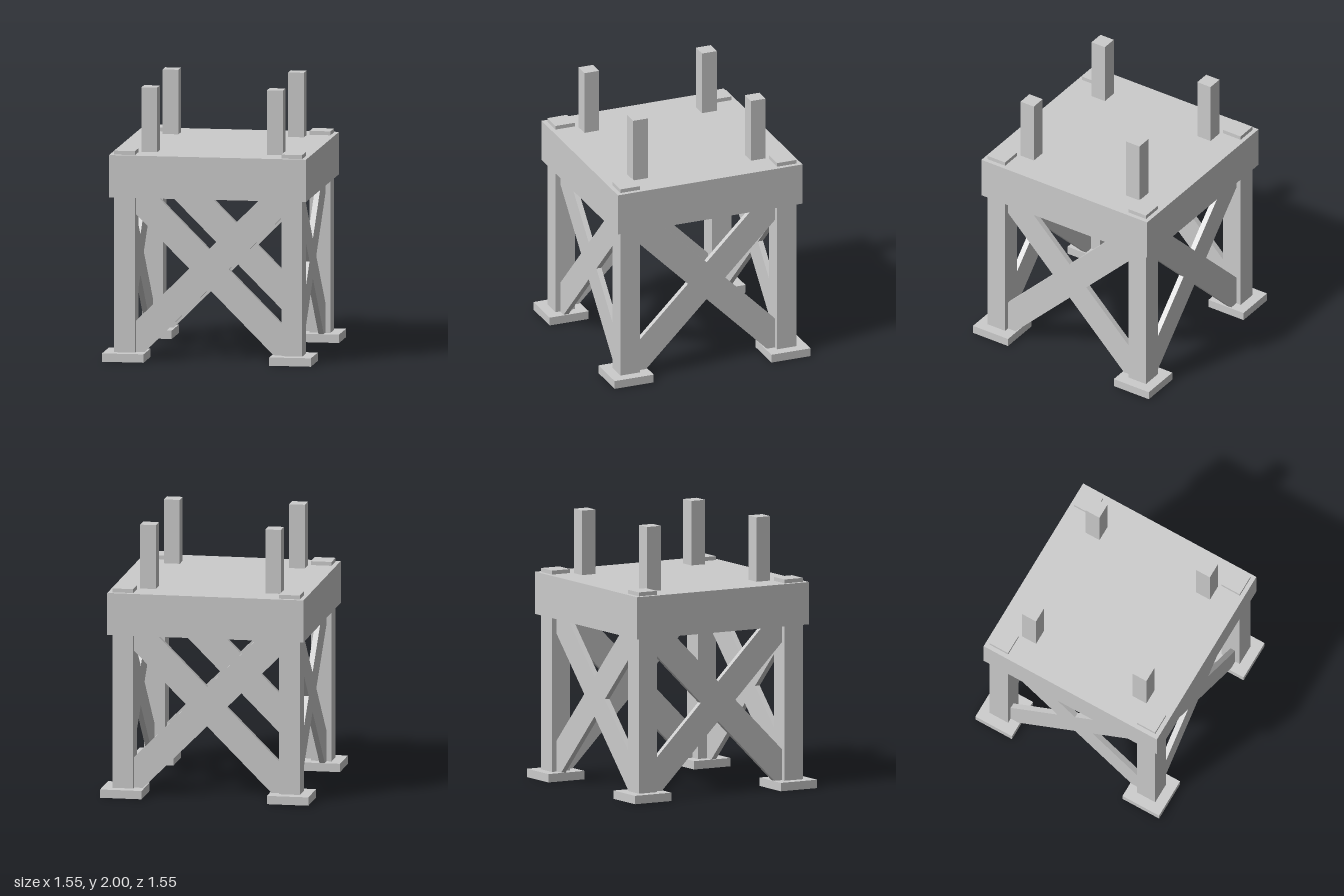
import * as THREE from 'three';

const material = new THREE.MeshStandardMaterial({ color: 0xcccccc, flatShading: true });

const FOOT_TOP = 0.062, DECK_BOTTOM = 1.21, DECK_TOP = 1.523;

// Square block standing between two heights
function block(name, width, y0, y1, x = 0, z = 0) {
  const mesh = new THREE.Mesh(new THREE.BoxGeometry(width, y1 - y0, width), material);
  mesh.name = name;
  mesh.position.set(x, (y0 + y1) / 2, z);
  return mesh;
}

// Crossed boards in one outline, trimmed by the legs, feet and deck
function crossBraceGeometry() {
  const half = 0.147, mid = 0.687, legX = 0.545;
  const right = [
    [0, mid - half],
    [mid - half - FOOT_TOP, FOOT_TOP], [legX, FOOT_TOP], [legX, mid - legX + half],
    [half, mid],
    [legX, mid + legX - half], [legX, DECK_BOTTOM], [DECK_BOTTOM - mid - half, DECK_BOTTOM],
    [0, mid + half],
  ];
  const left = right.slice(1, -1).reverse().map(([x, y]) => [-x, y]);
  const shape = new THREE.Shape([...right, ...left].map(([x, y]) => new THREE.Vector2(x, y)));
  return new THREE.ExtrudeGeometry(shape, { depth: 0.04, bevelEnabled: false });
}

export function createModel() {
  const model = new THREE.Group();
  model.name = 'platformTower';

  model.add(block('deck', 1.462, DECK_BOTTOM, DECK_TOP));

  // Corner legs with feet, caps on the deck and upright posts
  for (const sx of [-1, 1]) {
    for (const sz of [-1, 1]) {
      const x = sx * 0.621, z = sz * 0.621;
      model.add(
        block('foot', 0.309, 0, FOOT_TOP, x, z),
        block('leg', 0.155, FOOT_TOP, DECK_BOTTOM, x, z),
        block('legCap', 0.155, DECK_TOP, 1.552, x, z),
        block('post', 0.117, DECK_TOP, 2, sx * 0.466, sz * 0.466),
      );
    }
  }

  // One cross brace on each side
  const braceGeometry = crossBraceGeometry().translate(0, 0, 0.62);
  for (let i = 0; i < 4; i++) {
    const brace = new THREE.Mesh(braceGeometry, material);
    brace.name = 'crossBrace';
    brace.rotation.y = i * Math.PI / 2;
    model.add(brace);
  }
  return model;
}
